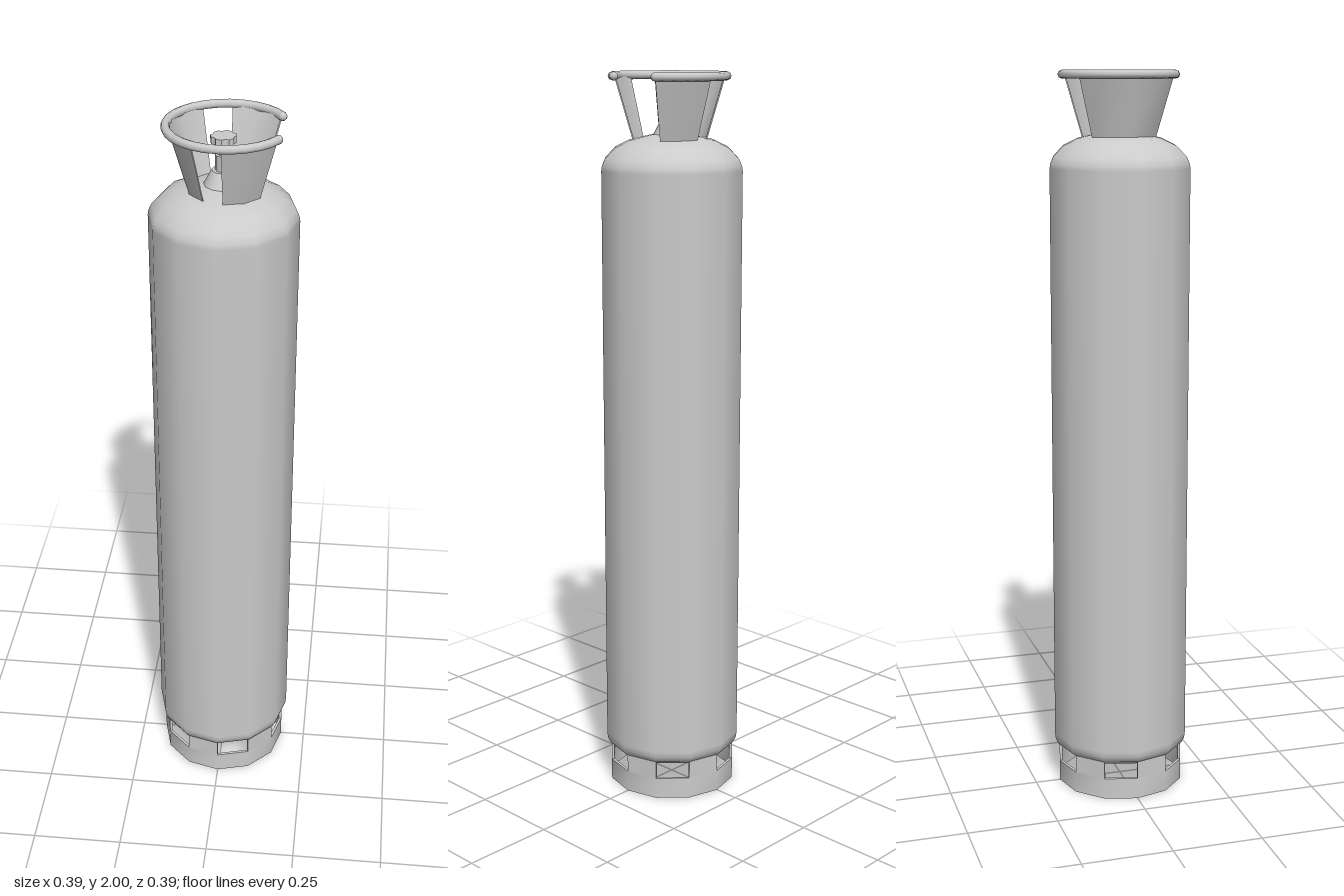
import * as THREE from 'three';
import { toCreasedNormals } from 'three/addons/utils/BufferGeometryUtils.js';

const SIDES = 12;
const STEP = (Math.PI * 2) / SIDES;
const material = new THREE.MeshStandardMaterial({ color: 0xcccccc, side: THREE.DoubleSide });

function add(parent, name, geometry, x = 0, y = 0, z = 0) {
  const mesh = new THREE.Mesh(geometry, material);
  mesh.name = name;
  mesh.position.set(x, y, z);
  parent.add(mesh);
  return mesh;
}

// Bends a box into a wall section; start and count are in twelfths of a turn from +z towards +x
function curvedWall(start, count, y0, y1, r0, r1, thickness) {
  const geometry = new THREE.BoxGeometry(1, 1, 1, count, 1, 1);
  const p = geometry.attributes.position;
  for (let i = 0; i < p.count; i++) {
    const angle = (start + (p.getX(i) + 0.5) * count) * STEP;
    const t = p.getY(i) + 0.5;
    const r = r0 + (r1 - r0) * t + (p.getZ(i) - 0.5) * thickness;
    p.setXYZ(i, r * Math.sin(angle), y0 + (y1 - y0) * t, r * Math.cos(angle));
  }
  return toCreasedNormals(geometry, 0.7);
}

function lathe(points, sides = SIDES) {
  return new THREE.LatheGeometry(points.map(([r, y]) => new THREE.Vector2(r, y)), sides);
}

export function createModel() {
  const model = new THREE.Group();
  model.name = 'gasCylinder';

  // Tall tank with domed ends and a neck
  add(model, 'tank', lathe([
    [0, 0.08], [0.1, 0.085], [0.155, 0.095], [0.183, 0.112], [0.191, 0.128], [0.193, 0.145],
    [0.193, 1.745], [0.191, 1.758], [0.183, 1.776], [0.155, 1.804], [0.115, 1.823], [0.05, 1.838],
  ]));
  add(model, 'neck', toCreasedNormals(lathe([
    [0.055, 1.83], [0.045, 1.847], [0.033, 1.87], [0.03, 1.875], [0, 1.875],
  ]), 0.7));

  // Foot ring, held to the tank by six tabs with open slots between
  const foot = new THREE.Group();
  foot.name = 'footRing';
  model.add(foot);
  add(foot, 'footBand', curvedWall(0, SIDES, 0, 0.06, 0.18, 0.18, 0.008));
  for (let i = 1; i < SIDES; i += 2) {
    add(foot, 'footTab', curvedWall(i, 1, 0.06, 0.112, 0.18, 0.18, 0.008));
  }

  // Flared collar: one wide panel and two narrow ones under an open grip ring
  const collar = new THREE.Group();
  collar.name = 'collar';
  collar.position.x = 0.008;
  model.add(collar);
  for (const [start, count] of [[0, 2], [4, 2], [7, 4]]) {
    add(collar, 'collarPanel', curvedWall(start, count, 1.82, 1.988, 0.1, 0.15, 0.004));
  }
  const grip = new THREE.TorusGeometry(0.151, 0.0115, 8, 24, STEP * 10);
  grip.rotateX(-Math.PI / 2).rotateY(STEP);
  add(collar, 'gripRing', grip, 0, 1.9885, 0);
  for (const side of [-1, 1]) {
    add(collar, 'gripEnd', new THREE.SphereGeometry(0.0115, 8, 6),
      0.151 * Math.cos(STEP), 1.9885, side * 0.151 * Math.sin(STEP));
  }

  // Valve body, side outlet, spindle and handwheel
  const valve = new THREE.Group();
  valve.name = 'valve';
  model.add(valve);
  add(valve, 'valveBody', new THREE.CylinderGeometry(0.022, 0.022, 0.045, 8), 0, 1.893, 0);
  const outlet = new THREE.CylinderGeometry(0.008, 0.008, 0.03, 8).rotateZ(Math.PI / 2);
  add(valve, 'valveOutlet', outlet, 0.027, 1.9, 0);
  add(valve, 'spindle', new THREE.CylinderGeometry(0.011, 0.014, 0.04, 8), 0, 1.932, 0);

  const wheelShape = new THREE.Shape();
  const at = (r, a) => [r * Math.cos(a), r * Math.sin(a)];
  const lobes = 6;
  wheelShape.moveTo(...at(0.033, 0));
  for (let i = 0; i < lobes; i++) {
    const a = (i * Math.PI * 2) / lobes;
    wheelShape.lineTo(...at(0.033, a + 0.45));
    wheelShape.quadraticCurveTo(...at(0.024, a + 0.75), ...at(0.033, a + Math.PI * 2 / lobes));
  }
  const wheel = new THREE.ExtrudeGeometry(wheelShape, { depth: 0.018, bevelEnabled: false, curveSegments: 3 });
  add(valve, 'handwheel', wheel.rotateX(-Math.PI / 2), 0, 1.946, 0);

  return model;
}
